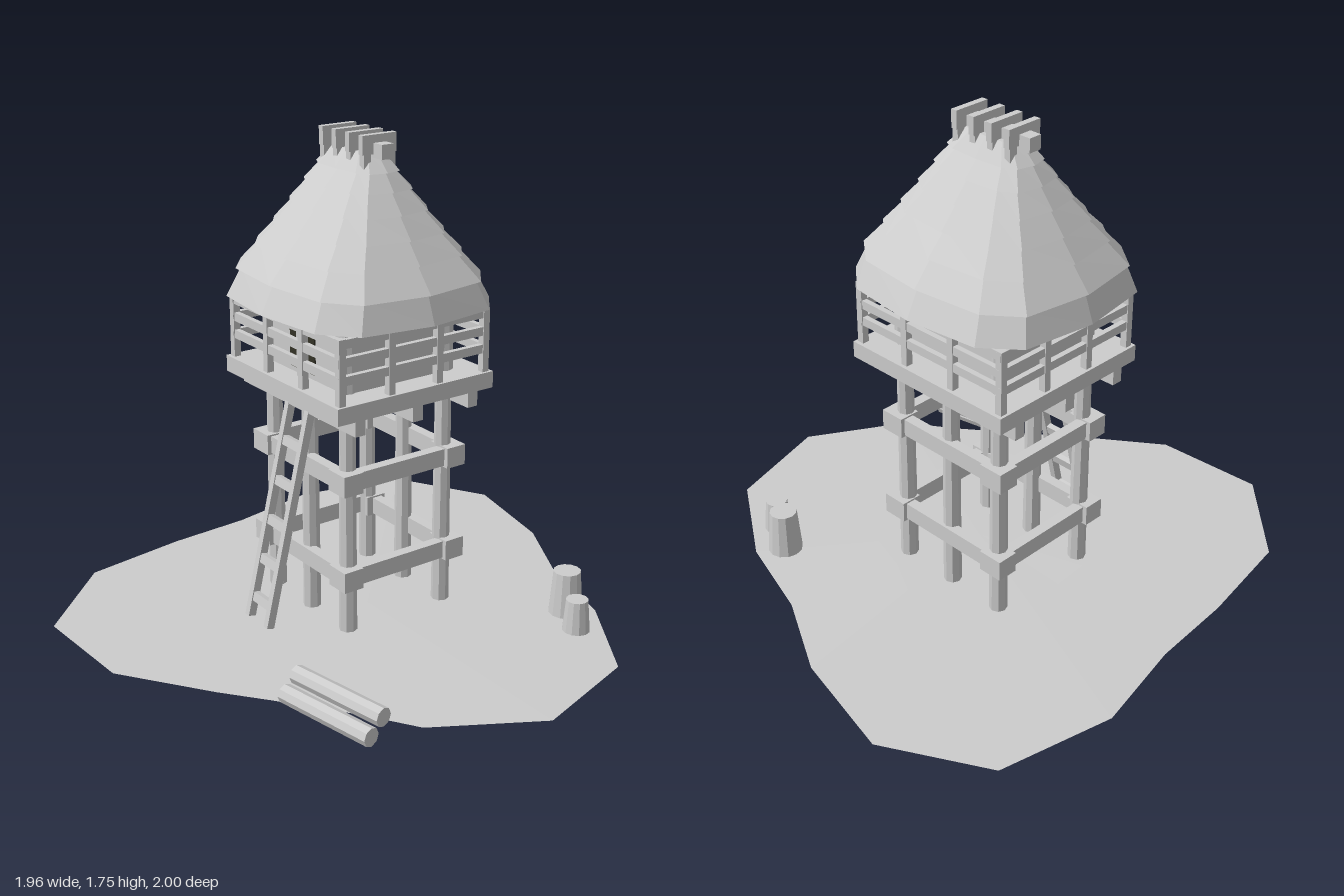
import * as THREE from 'three';

const mat = (name, hex) => {
  const m = new THREE.MeshStandardMaterial({ color: hex, flatShading: true });
  m.name = name;
  return m;
};

export function createModel() {
  const grey = mat('weathered grey', 0xcccccc);
  const earth = mat('brown earth', 0x7c624c);
  const dark = mat('dark interior', 0x333226);
  const CX = -0.112, CZ = -0.04; // tower axis
  const model = new THREE.Group();
  model.name = 'watchtower';

  const group = (name, parent = model) => {
    const g = new THREE.Group();
    g.name = name;
    parent.add(g);
    return g;
  };
  const add = (parent, name, geo, m = grey) => {
    const mesh = new THREE.Mesh(geo, m);
    mesh.name = name;
    parent.add(mesh);
    return mesh;
  };
  const box = (parent, name, w, h, d, x, y, z, m = grey) => {
    const b = add(parent, name, new THREE.BoxGeometry(w, h, d), m);
    b.position.set(x, y, z);
    return b;
  };
  const cyl = (parent, name, rt, rb, h, n, x, y, z) => {
    const c = add(parent, name, new THREE.CylinderGeometry(rt, rb, h, n));
    c.position.set(x, y, z);
    return c;
  };
  // Wall of triangles between two rings of equal length, facing outward (inward if flipped)
  const band = (low, high, flip = false) => {
    const out = [];
    low.forEach((a, i) => {
      const j = (i + 1) % low.length;
      const b = low[j], c = high[j], d = high[i];
      out.push(...(flip ? [a, b, c, a, c, d] : [a, c, b, a, d, c]).flat());
    });
    const g = new THREE.BufferGeometry();
    g.setAttribute('position', new THREE.Float32BufferAttribute(out, 3));
    g.computeVertexNormals();
    return g;
  };

  // Ground: a thin, slightly domed patch with an earthy underside
  const outline = [
    [-0.52, -1], [-0.11, -0.91], [0.19, -0.75], [0.52, -0.65], [0.86, -0.43], [0.98, -0.02],
    [0.77, 0.34], [0.6, 0.45], [0.35, 0.64], [0.2, 0.76], [-0.11, 0.98], [-0.53, 1],
    [-0.83, 0.69], [-0.89, 0.3], [-0.91, -0.02], [-0.98, -0.38], [-0.88, -0.8]];
  const ring = (s, y) => outline.map(([x, z]) => [x * s, y, z * s]);
  const ground = group('ground');
  add(ground, 'groundTop', band(ring(1, 0.018), ring(0.45, 0.027)));
  add(ground, 'groundCrown', band(ring(0.45, 0.027), ring(0, 0.031)));
  add(ground, 'groundRim', band(ring(0.965, 0.012), ring(1, 0.018)));
  add(ground, 'groundUnderside', band(ring(0, 0.012), ring(0.965, 0.012)), earth);

  // Six legs
  const legX = [-0.34, CX, 0.115], legZ = [0.167, -0.247];
  const legs = group('legs');
  for (const x of legX) for (const z of legZ) cyl(legs, 'leg', 0.029, 0.033, 0.86, 8, x, 0.43, z);

  // Two levels of bracing with blocks at the corners
  const bracing = group('bracing');
  for (const y of [0.243, 0.603]) {
    for (const s of [-1, 1]) {
      box(bracing, 'longBrace', 0.5, 0.064, 0.04, CX, y, CZ + s * 0.228);
      box(bracing, 'sideBrace', 0.04, 0.064, 0.45, CX + s * 0.25, y, CZ);
      for (const t of [-1, 1])
        box(bracing, 'cornerBlock', 0.095, 0.076, 0.08, CX + s * 0.24, y, CZ + t * 0.223);
    }
  }

  // Platform on three joists
  const platform = group('platform');
  box(platform, 'deck', 0.7, 0.06, 0.66, CX, 0.89, CZ);
  for (const z of [0.2, CZ, -0.28]) box(platform, 'joist', 0.7, 0.055, 0.042, CX, 0.834, z);

  // Cabin with a dark doorway
  const cabin = group('cabin');
  box(cabin, 'cabinWalls', 0.5, 0.28, 0.46, CX, 1.06, CZ);
  box(cabin, 'doorway', 0.15, 0.235, 0.008, CX, 1.0575, CZ + 0.232, dark);
  for (const x of [legX[0], legX[2]]) for (const z of legZ)
    cyl(cabin, 'cabinPost', 0.03, 0.03, 0.28, 8, x, 1.06, z);
  cyl(cabin, 'doorPost', 0.029, 0.029, 0.28, 8, CX, 1.06, CZ + 0.225);

  // Railing round the deck
  const railing = group('railing');
  const HX = 0.327, HZ = 0.304;
  for (const s of [-1, 1]) {
    for (const y of [1.005, 1.069, 1.132]) {
      box(railing, 'longRail', 0.68, 0.031, 0.02, CX, y, CZ + s * HZ);
      box(railing, 'sideRail', 0.02, 0.031, 0.635, CX + s * HX, y, CZ);
    }
    for (const k of [-1, -1 / 3, 1 / 3, 1]) {
      box(railing, 'railPost', 0.026, 0.23, 0.026, CX + k * HX, 1.035, CZ + s * HZ);
      if (Math.abs(k) < 1)
        box(railing, 'railPost', 0.026, 0.23, 0.026, CX + s * HX, 1.035, CZ + k * HZ);
    }
  }

  // Layered thatched roof: twelve-sided tiers, each overhanging the one below
  const corner = [[1, 0], [0.91, 0.67], [0.63, 0.925], [0, 1], [-0.63, 0.925], [-0.91, 0.67],
    [-1, 0], [-0.91, -0.67], [-0.63, -0.925], [0, -1], [0.63, -0.925], [0.91, -0.67]];
  const roofRing = (hx, y, hz) => corner.map(([a, b]) => [CX + a * hx, y, CZ + b * hz]);
  const levels = [[0.434, 1.165, 0.398], [0.395, 1.27, 0.345], [0.335, 1.355, 0.285], [0.285, 1.43, 0.225],
    [0.235, 1.505, 0.17], [0.19, 1.575, 0.12], [0.155, 1.635, 0.075], [0.11, 1.69, 0.045]];
  const roof = group('roof');
  levels.slice(0, -1).forEach((lo, i) => {
    const lip = i ? 0.018 : 0;
    const low = roofRing(lo[0] + lip, lo[1] - lip * 0.4, lo[2] + lip);
    add(roof, 'roofTier', band(low, roofRing(...levels[i + 1])));
    if (i) add(roof, 'tierLip', band(roofRing(lo[0] - 0.01, lo[1] - 0.004, lo[2] - 0.01), low));
  });
  add(roof, 'roofTop', band(roofRing(...levels[7]), roofRing(0, 1.69, 0)));
  add(roof, 'roofLining', band(roofRing(...levels[0]), roofRing(0.37, 1.262, 0.32), true), dark);
  add(roof, 'roofCeiling', band(roofRing(0, 1.262, 0), roofRing(0.37, 1.262, 0.32)), dark);

  // Ridge pole with saddle slats
  const ridge = group('ridge');
  box(ridge, 'ridgePole', 0.345, 0.05, 0.05, CX, 1.7, CZ);
  for (const k of [-1.5, -0.5, 0.5, 1.5]) {
    const x = CX + k * 0.077;
    box(ridge, 'saddleSlat', 0.024, 0.065, 0.14, x, 1.72, CZ);
    for (const s of [-1, 1]) box(ridge, 'saddleLeg', 0.024, 0.06, 0.03, x, 1.665, CZ + s * 0.05);
  }

  // Ladder leaning against the front
  const ladder = group('ladder');
  const foot = new THREE.Vector2(0.395, 0.03), head = new THREE.Vector2(0.205, 0.82);
  const run = head.clone().sub(foot);
  const tilt = Math.atan2(run.x, run.y);
  for (const s of [-1, 1])
    box(ladder, 'ladderRail', 0.024, run.length(), 0.03, CX + s * 0.061,
      (foot.y + head.y) / 2, (foot.x + head.x) / 2).rotation.x = tilt;
  for (const y of [0.105, 0.247, 0.39, 0.533, 0.677])
    box(ladder, 'rung', 0.12, 0.034, 0.022, CX, y,
      foot.x + run.x * (y - foot.y) / run.y).rotation.x = tilt;

  // Two logs on the ground
  const logs = group('logs');
  for (const [x, y, z] of [[0.553, 0.037, 0.56], [0.556, 0.094, 0.515]]) {
    const pivot = group('log', logs);
    pivot.position.set(x, y, z);
    pivot.rotation.y = 0.19;
    cyl(pivot, 'logBody', 0.033, 0.033, 0.388, 8, 0, 0, 0).rotation.z = Math.PI / 2;
  }

  // Two tapered stumps
  const stumps = group('stumps');
  cyl(stumps, 'largeStump', 0.05, 0.065, 0.185, 12, 0.463, 0.0925, -0.555);
  cyl(stumps, 'smallStump', 0.04, 0.052, 0.14, 12, 0.585, 0.07, -0.492);

  return model;
}
